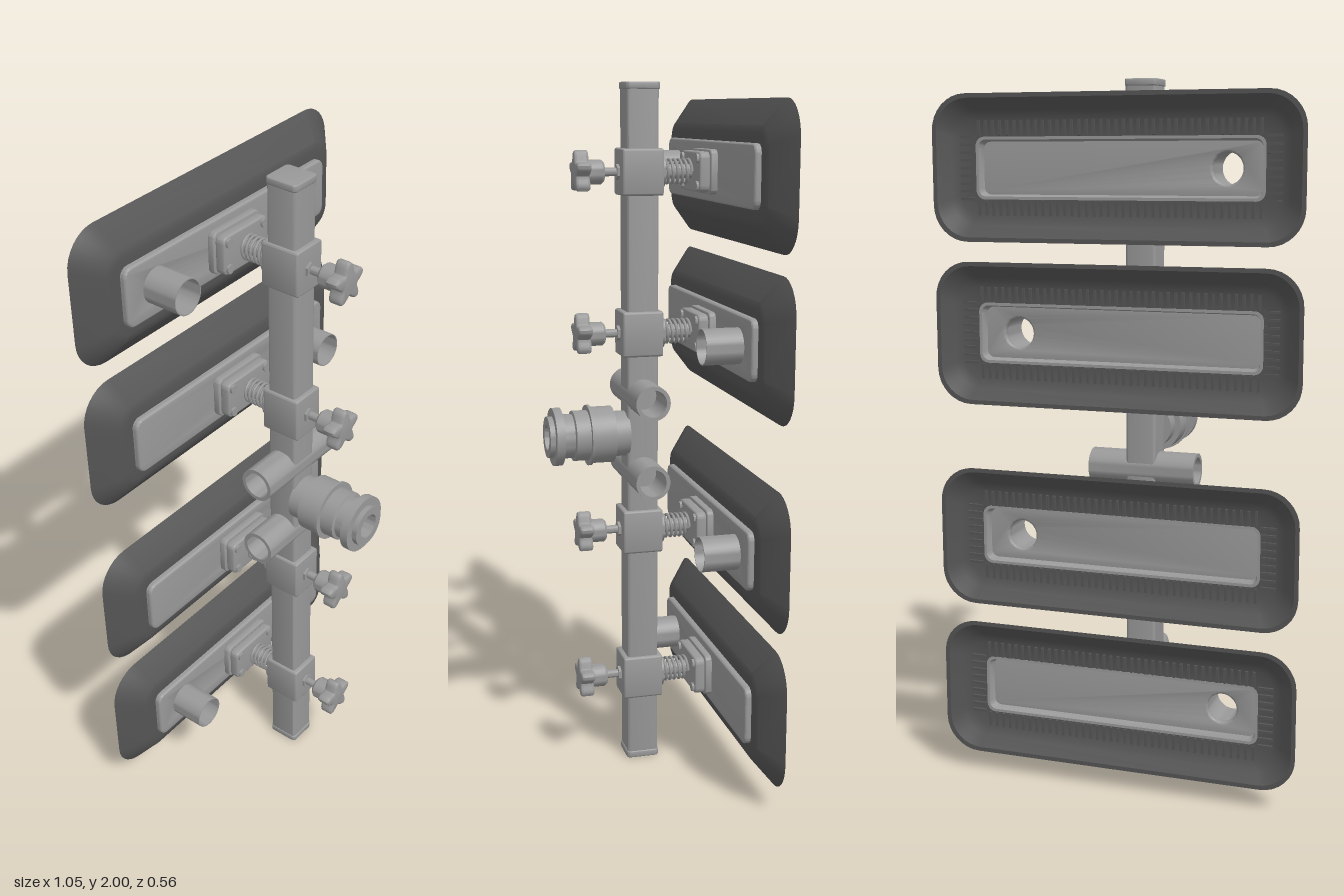
import * as THREE from 'three';
import { mergeGeometries, toCreasedNormals } from 'three/addons/utils/BufferGeometryUtils.js';

const metal = new THREE.MeshStandardMaterial({ color: 0x999999, side: THREE.DoubleSide });
metal.name = 'grey metal';
const rubber = new THREE.MeshStandardMaterial({ color: 0x555555, side: THREE.DoubleSide });
rubber.name = 'dark rubber';

function add(parent, name, geometry, material = metal, x = 0, y = 0, z = 0) {
  const mesh = new THREE.Mesh(geometry, material);
  mesh.name = name;
  mesh.position.set(x, y, z);
  parent.add(mesh);
  return mesh;
}

// Rounded rectangle outline, counter-clockwise
function outline(hw, hh, r, n = 8) {
  const pts = [];
  [[1, -1], [1, 1], [-1, 1], [-1, -1]].forEach(([sx, sy], c) => {
    for (let i = 0; i <= n; i++) {
      const a = (c - 1 + i / n) * Math.PI / 2;
      pts.push(new THREE.Vector2(sx * (hw - r) + r * Math.cos(a), sy * (hh - r) + r * Math.sin(a)));
    }
  });
  return pts;
}

// Bevelled extrusion along z, from 0 to depth
function extrude(shape, depth, bevel) {
  const g = new THREE.ExtrudeGeometry(shape, {
    depth: depth - 2 * bevel, bevelEnabled: bevel > 0, bevelSize: bevel, bevelThickness: bevel,
    bevelOffset: -bevel, bevelSegments: 3, curveSegments: 24,
  });
  return toCreasedNormals(g.translate(0, 0, bevel), 0.6);
}

function slab(hw, hh, r, depth, bevel, hole) {
  const shape = new THREE.Shape(outline(hw, hh, r));
  if (hole) shape.holes.push(new THREE.Path().absarc(hole.x, hole.y, hole.r, 0, Math.PI * 2, true));
  return extrude(shape, depth, bevel);
}

// Turned part about the z axis; the profile is [radius, z] pairs
function turned(profile, sides = 32) {
  const g = new THREE.LatheGeometry(profile.map(([r, z]) => new THREE.Vector2(r, z)), sides);
  return toCreasedNormals(g.rotateX(Math.PI / 2), 0.6);
}
const pipe = (ro, ri, z0, z1) => turned([[ri, z0], [ro, z0], [ro, z1], [ri, z1], [ri, z0]]);
const rod = (r, z0, z1, sides) => turned([[0, z0], [r, z0], [r, z1], [0, z1]], sides);

// Rounded-rectangle frame swept through [inset, z] pairs
const HW = 0.525, HH = 0.2;
function frame(profile) {
  const pos = [], idx = [];
  const n = 36;
  profile.forEach(([inset, z]) => {
    outline(HW - inset, HH - inset, Math.max(0.02, 0.1 - 0.65 * inset)).forEach(p => pos.push(p.x, p.y, z));
  });
  for (let i = 0; i < profile.length - 1; i++) {
    for (let j = 0; j < n; j++) {
      const a = i * n + j, b = i * n + (j + 1) % n;
      idx.push(a, b, a + n, b, b + n, a + n);
    }
  }
  const g = new THREE.BufferGeometry();
  g.setAttribute('position', new THREE.Float32BufferAttribute(pos, 3));
  g.setIndex(idx);
  return toCreasedNormals(g, 0.5);
}

// Short ribs around the inner band of the pad's back
function ribs() {
  const list = [], step = 0.021, z = -0.247;
  for (const s of [-1, 1]) {
    for (let i = -19; i <= 19; i++) {
      list.push(new THREE.BoxGeometry(0.007, 0.042, 0.012).translate(i * step, s * (HH - 0.092), z));
    }
    for (let i = -4; i <= 4; i++) {
      list.push(new THREE.BoxGeometry(0.042, 0.007, 0.012).translate(s * (HW - 0.092), i * step, z));
    }
  }
  return mergeGeometries(list);
}

function starKnob() {
  const pts = [];
  for (let i = 0; i < 60; i++) {
    const a = i / 60 * Math.PI * 2, r = 0.048 + 0.013 * Math.cos(5 * a);
    pts.push(new THREE.Vector2(-r * Math.sin(a), r * Math.cos(a)));
  }
  return extrude(new THREE.Shape(pts), 0.042, 0.008);
}

function spring(z0, z1, turns) {
  const pts = [];
  for (let i = 0; i <= turns * 12; i++) {
    const a = i / 12 * Math.PI * 2;
    pts.push(new THREE.Vector3(0.033 * Math.cos(a), 0.033 * Math.sin(a), z0 + (z1 - z0) * i / (turns * 12)));
  }
  return new THREE.TubeGeometry(new THREE.CatmullRomCurve3(pts), turns * 16, 0.0045, 6);
}

// Suction pad with its spring mount, beam clamp and knob
function suctionUnit(side) {
  const g = new THREE.Group();
  g.name = 'suctionUnit';
  add(g, 'rubberSeal', frame([[0, -0.28], [0.07, -0.222], [0.09, -0.218], [0.118, -0.218], [0.118, -0.245],
    [0.07, -0.245], [0.045, -0.258], [0.012, -0.28], [0, -0.28]]), rubber);
  add(g, 'sealRibs', ribs(), rubber);
  add(g, 'padRim', frame([[0.115, -0.212], [0.115, -0.246], [0.123, -0.246], [0.13, -0.212]]));
  add(g, 'padPlate', slab(0.41, 0.085, 0.025, 0.02, 0.006, { x: side * 0.3, y: 0, r: 0.042 }), metal, 0, 0, -0.22);
  add(g, 'hosePort', pipe(0.05, 0.047, -0.215, -0.095), metal, side * 0.3);

  add(g, 'mountBase', slab(0.097, 0.062, 0.02, 0.022, 0.004), metal, 0, 0, -0.202);
  add(g, 'mountBlock', slab(0.092, 0.056, 0.018, 0.03, 0.005), metal, 0, 0, -0.18);
  for (const sx of [-1, 1]) {
    for (const sy of [-1, 1]) add(g, 'mountBolt', rod(0.013, -0.152, -0.143, 12), metal, sx * 0.073, sy * 0.038);
  }
  add(g, 'springRod', rod(0.02, -0.16, -0.04, 16));
  add(g, 'spring', spring(-0.145, -0.062, 6));
  add(g, 'springWasher', rod(0.048, -0.066, -0.05));

  add(g, 'clampCollar', slab(0.053, 0.065, 0.008, 0.118, 0.005), metal, 0, 0, -0.058);
  add(g, 'knobStem', rod(0.012, 0.05, 0.12, 16));
  add(g, 'knobNut', rod(0.022, 0.058, 0.068, 6));
  add(g, 'knobHub', turned([[0, 0.105], [0.028, 0.105], [0.034, 0.112], [0.034, 0.155], [0, 0.155]]));
  add(g, 'starKnob', starKnob(), metal, 0, 0, 0.148);
  return g;
}

export function createModel() {
  const model = new THREE.Group();
  model.name = 'vacuumLifter';
  const handleY = [0.89, 1.12];

  // Beam, cut through for the cross tubes
  const side = new THREE.Shape([[-0.046, 0.01], [0.046, 0.01], [0.046, 1.99], [-0.046, 1.99]]
    .map(p => new THREE.Vector2(...p)));
  for (const y of handleY) side.holes.push(new THREE.Path().absarc(0, y, 0.036, 0, Math.PI * 2, true));
  const beam = extrude(side, 0.09, 0.009).translate(0, 0, -0.045).rotateY(Math.PI / 2);
  add(model, 'beam', beam);
  for (const y of [0, 1.98]) {
    const cap = slab(0.047, 0.049, 0.012, 0.02, 0.003).rotateX(-Math.PI / 2);
    add(model, 'endCap', cap, metal, 0, y, 0);
  }

  // Open cross tubes above and below the coupling
  for (const y of handleY) {
    add(model, 'crossTube', pipe(0.05, 0.039, -0.16, 0.16).rotateY(Math.PI / 2), metal, 0, y, 0);
  }

  // Stepped coupling on the front
  add(model, 'coupling', turned([[0, 0.04], [0.066, 0.04], [0.066, 0.085], [0.082, 0.085], [0.082, 0.15],
    [0.088, 0.15], [0.088, 0.158], [0.073, 0.158], [0.073, 0.2], [0.064, 0.203], [0.064, 0.236], [0.084, 0.236],
    [0.084, 0.26], [0.06, 0.26], [0.06, 0.275], [0.037, 0.275], [0.037, 0.235], [0, 0.235]], 40), metal, 0, 1.005, 0);

  // Four pads, with hose ports on alternating sides
  [[1.755, -1], [1.3, 1], [0.715, 1], [0.26, -1]].forEach(([y, s]) => {
    const unit = suctionUnit(s);
    unit.position.y = y;
    model.add(unit);
  });
  return model;
}
